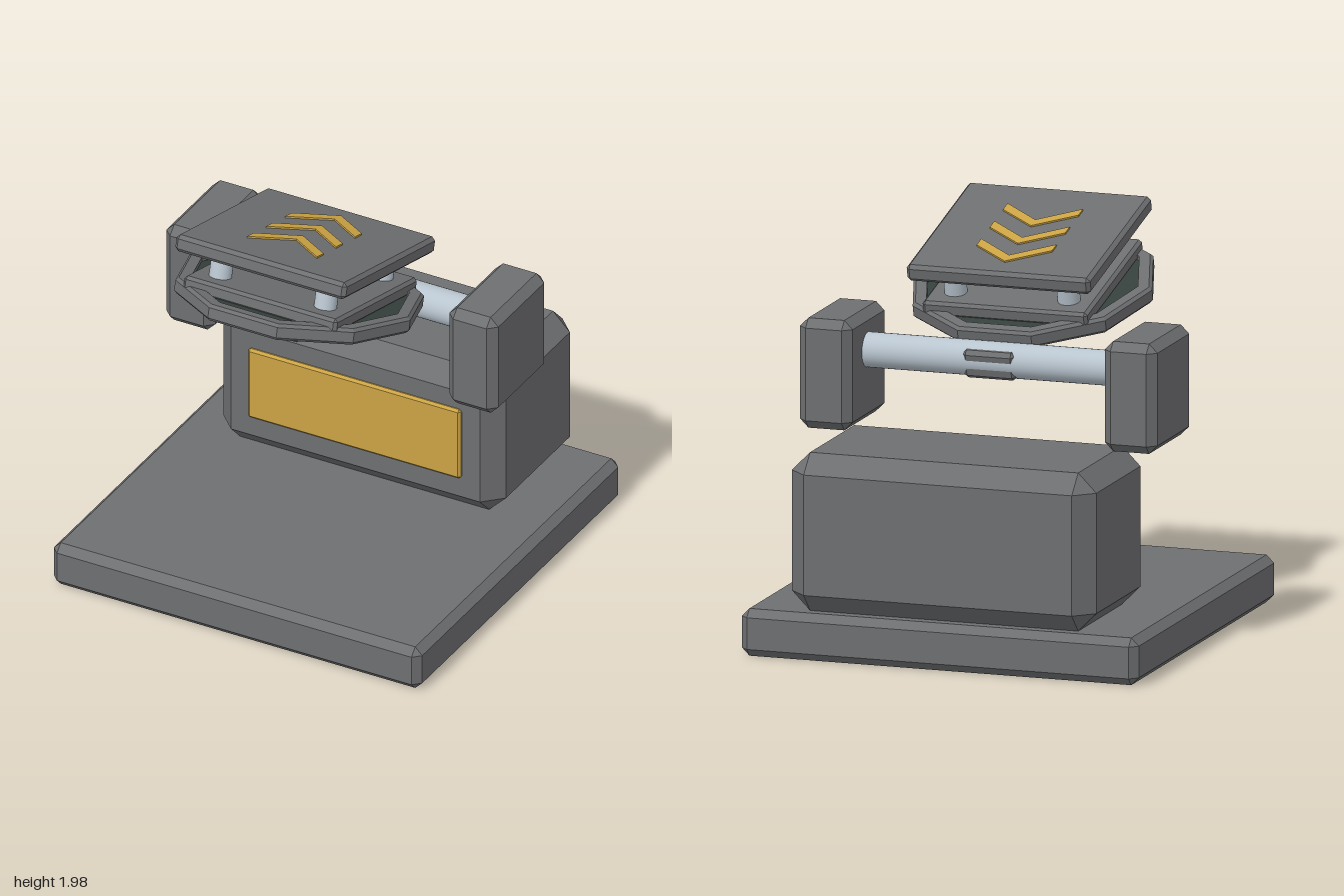
import * as THREE from 'three';
import { ConvexGeometry } from 'three/addons/geometries/ConvexGeometry.js';

const material = (name, color) => {
  const m = new THREE.MeshStandardMaterial({ color });
  m.name = name;
  return m;
};

// Box with flat chamfers on every edge
function chamferBox(w, h, d, c) {
  const pts = [];
  for (const sx of [-1, 1]) for (const sy of [-1, 1]) for (const sz of [-1, 1]) {
    for (const [a, b, e] of [[0, c, c], [c, 0, c], [c, c, 0]]) {
      pts.push(new THREE.Vector3(sx * (w / 2 - a), sy * (h / 2 - b), sz * (d / 2 - e)));
    }
  }
  return new ConvexGeometry(pts);
}

function flat(geometry) {
  const g = geometry.toNonIndexed();
  g.computeVertexNormals();
  return g;
}

export function createModel() {
  const grey = material('grey metal', 0x6e6f71);
  const yellow = material('yellow paint', 0xcba344);
  const steel = material('pale steel', 0xb9c5cf);
  const dark = material('dark rubber', 0x35403d);

  const model = new THREE.Group();
  model.name = 'launchPad';
  const add = (parent, name, geometry, mat, x = 0, y = 0, z = 0) => {
    const mesh = new THREE.Mesh(geometry, mat);
    mesh.name = name;
    mesh.position.set(x, y, z);
    parent.add(mesh);
    return mesh;
  };

  // Base slab, rear housing and its front panel
  add(model, 'base', chamferBox(2, 0.23, 2, 0.038), grey, 0, 0.115, 0);
  add(model, 'housing', chamferBox(1.535, 0.77, 0.81, 0.092), grey, 0, 0.615, -0.595);
  add(model, 'frontPanel', chamferBox(1.155, 0.385, 0.04, 0.012), yellow, 0, 0.618, -0.192);

  // Side brackets carrying the axle
  for (const s of [-1, 1]) {
    add(model, s > 0 ? 'leftBracket' : 'rightBracket',
      chamferBox(0.265, 0.535, 0.535, 0.042), grey, s * 0.768, 1.27, -0.19);
  }
  const axle = add(model, 'axle', new THREE.CylinderGeometry(0.085, 0.085, 1.34, 32), steel, 0, 1.355, -0.2);
  axle.rotation.z = Math.PI / 2;

  // Tilted head, centred on its top plate
  const head = new THREE.Group();
  head.name = 'tiltedHead';
  head.position.set(0, 1.836, 0.302);
  head.rotation.x = -THREE.MathUtils.degToRad(14);
  model.add(head);

  add(head, 'topPlate', chamferBox(0.925, 0.085, 0.925, 0.018), grey);
  add(head, 'lowerPlate', chamferBox(0.83, 0.075, 0.83, 0.015), grey, 0, -0.204, 0);
  add(head, 'supportArm', chamferBox(0.265, 0.145, 0.895, 0.02), grey, 0, -0.348, -0.238);

  // Posts and central hub between the plates
  for (const x of [-0.285, 0.285]) for (const z of [-0.285, 0.285]) {
    add(head, 'post', new THREE.CylinderGeometry(0.055, 0.055, 0.15, 24), steel, x, -0.105, z);
  }
  add(head, 'hub', new THREE.CylinderGeometry(0.12, 0.12, 0.15, 24), dark, 0, -0.105, 0);

  // Ten-sided rim around a dark disc
  const start = Math.PI / 10;
  const rim = [[0.53, -0.292], [0.585, -0.292], [0.6, -0.277], [0.6, -0.225],
    [0.585, -0.21], [0.53, -0.21], [0.53, -0.292]].map(([r, y]) => new THREE.Vector2(r, y));
  add(head, 'dishRim', flat(new THREE.LatheGeometry(rim, 10, start)), grey);
  add(head, 'dishDisc', flat(new THREE.CylinderGeometry(0.535, 0.535, 0.055, 10, 1, false, start)),
    dark, 0, -0.2625, 0);

  // Raised chevrons pointing to the rear
  const shape = new THREE.Shape([[0, 0], [0.19, -0.145], [0.19, -0.212], [0, -0.065],
    [-0.19, -0.212], [-0.19, -0.145]].map(([x, y]) => new THREE.Vector2(x, y)));
  const chevron = new THREE.ExtrudeGeometry(shape, { depth: 0.009, bevelEnabled: false });
  chevron.rotateX(-Math.PI / 2);
  for (let i = 0; i < 3; i++) {
    add(head, 'chevron', chevron, yellow, 0, 0.042, -0.35 + i * 0.193);
  }
  return model;
}
